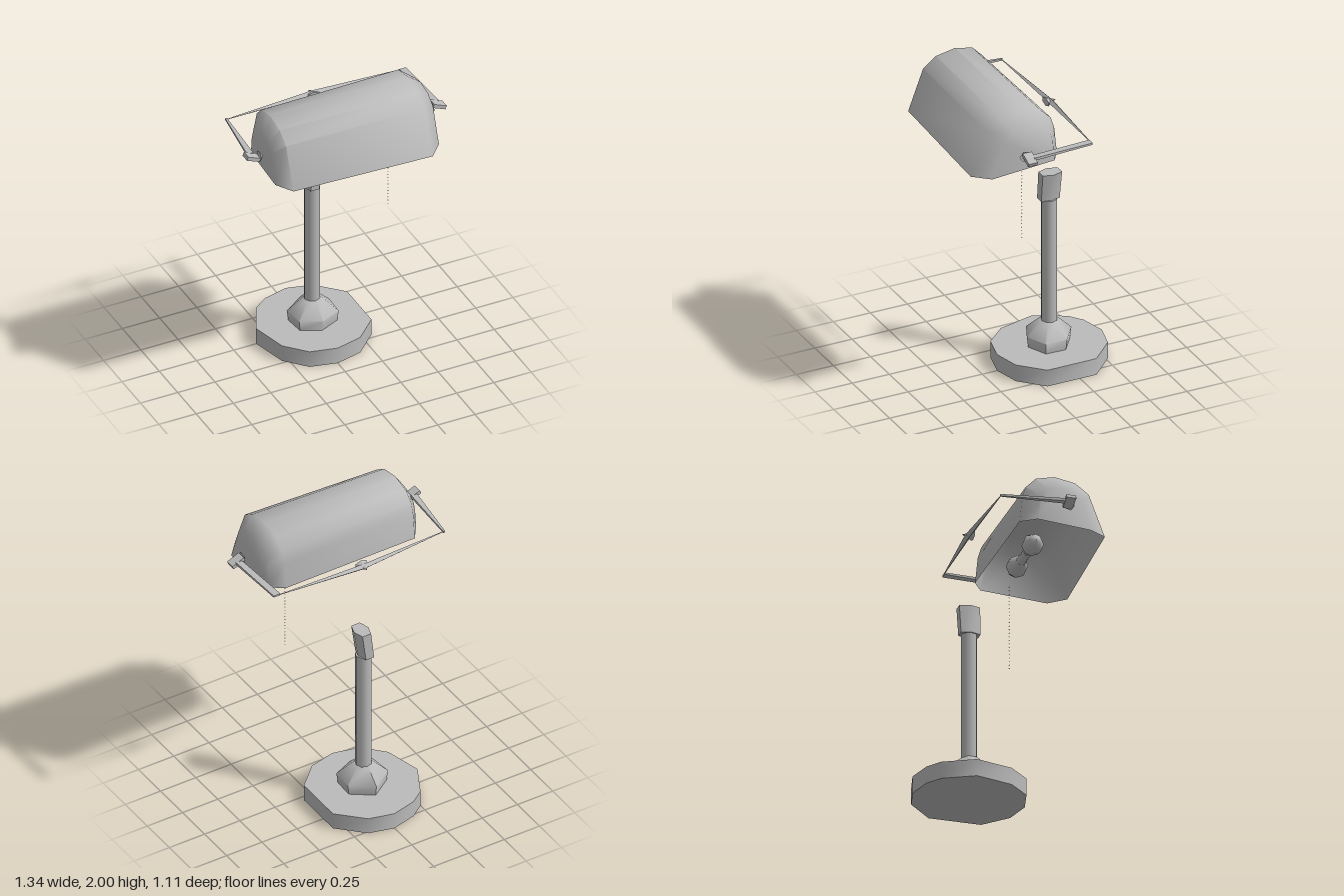
import * as THREE from 'three';
import { toCreasedNormals } from 'three/addons/utils/BufferGeometryUtils.js';

// Skin a surface over a row of cross-sections (each a list of [x, y, z])
function loft(sections, { closed = true, caps = true, crease = 0.9 } = {}) {
  const n = sections[0].length;
  const pos = sections.flat(2);
  const idx = [];
  const spans = closed ? n : n - 1;
  for (let s = 0; s < sections.length - 1; s++) {
    for (let i = 0; i < spans; i++) {
      const j = (i + 1) % n;
      const a = s * n + i, b = s * n + j;
      idx.push(a, a + n, b, b, a + n, b + n);
    }
  }
  if (caps) {
    const last = (sections.length - 1) * n;
    for (let i = 1; i < n - 1; i++) {
      idx.push(0, i, i + 1);
      idx.push(last, last + i + 1, last + i);
    }
  }
  const geo = new THREE.BufferGeometry();
  geo.setAttribute('position', new THREE.Float32BufferAttribute(pos, 3));
  geo.setIndex(idx);
  geo.computeVertexNormals();
  return toCreasedNormals(geo, crease);
}

export function createModel() {
  const lamp = new THREE.Group();
  lamp.name = 'deskLamp';
  const grey = new THREE.MeshStandardMaterial({ color: 0xbbbbbb, side: THREE.DoubleSide });
  grey.name = 'grey metal';
  const axisZ = -0.2;

  function add(name, geometry, x = 0, y = 0, z = 0, parent = lamp) {
    const mesh = new THREE.Mesh(geometry, grey);
    mesh.name = name;
    mesh.position.set(x, y, z);
    parent.add(mesh);
    return mesh;
  }

  // Outline [x, z] raised to a height, optionally scaled about the pole axis
  const level = (outline, y, k = 1, dx = 0) =>
    outline.map(([x, z]) => [x * k + dx, y, axisZ + (z - axisZ) * k]);

  // Base: uneven many-sided disc
  const baseOutline = [
    [0, -0.555], [0.16, -0.515], [0.315, -0.36], [0.315, -0.03], [0.17, 0.11], [0, 0.15],
    [-0.17, 0.11], [-0.29, -0.02], [-0.35, -0.255], [-0.25, -0.45], [-0.16, -0.515],
  ];
  add('base', loft([level(baseOutline, 0), level(baseOutline, 0.11)], { crease: 1.2 }));

  // Foot: six-sided collar tapering to the pole
  const footOutline = [
    [0, -0.35], [0.14, -0.25], [0.135, -0.11], [0, -0.05], [-0.13, -0.11], [-0.145, -0.25],
  ];
  add('foot', loft([
    level(footOutline, 0.11, 0.94), level(footOutline, 0.18), level(footOutline, 0.27, 0.38),
  ]));

  // Pole
  add('pole', new THREE.CylinderGeometry(0.051, 0.051, 0.83, 8), 0, 0.68, axisZ);

  // Neck: leaning socket on top of the pole
  const neckOutline = [
    [0.03, -0.265], [0.05, -0.2], [0.03, -0.135], [-0.03, -0.135], [-0.05, -0.2], [-0.03, -0.265],
  ];
  add('neck', loft([level(neckOutline, 1.09, 0.95, -0.01), level(neckOutline, 1.28, 1, 0.015)]));

  // Shade: open-bottomed vault with chamfered ends; profile is [depth, height] from 0 to 1
  const vault = [
    [0, 0], [0.03, 0.5], [0.07, 0.72], [0.19, 0.92], [0.41, 1], [0.65, 0.93], [0.81, 0.75], [1, 0],
  ];
  const vaultAt = (x, back, front, top) => vault.map(([t, h]) => {
    const bottom = 1.66 - 0.03 * t;
    return [x, bottom + (top - bottom) * h, back + (front - back) * t];
  });
  add('shade', loft([
    vaultAt(-0.543, 0.07, 0.4, 1.88),
    vaultAt(-0.475, -0.025, 0.51, 1.985),
    vaultAt(0.44, -0.03, 0.55, 2.0),
    vaultAt(0.53, 0.03, 0.45, 1.93),
  ], { closed: false, crease: 1.0 }));

  // Crossbar: a rod thickest in the middle, pointed at both ends
  const ringX = (x, y, z, r) => [0, 1, 2, 3].map((i) => {
    const a = (i * Math.PI) / 2;
    return [x, y + r * Math.cos(a), z + r * Math.sin(a)];
  });
  add('crossbar', loft([
    ringX(-0.58, 1.765, -0.175, 0.003), ringX(0, 1.757, -0.205, 0.02), ringX(0.58, 1.765, -0.18, 0.003),
  ]));
  const knob = add('crossbarKnob', new THREE.ConeGeometry(0.045, 0.07, 6), 0, 1.757, -0.21);
  knob.rotation.x = -Math.PI / 2;
  knob.scale.set(1, 1, 0.6);

  // Side arms, thumb screws and washers
  for (const side of [-1, 1]) {
    const arm = new THREE.Group();
    arm.name = side > 0 ? 'leftArm' : 'rightArm';
    lamp.add(arm);
    const ringZ = (x0, x1, y, z, h) => [
      [side * x0, y + h, z], [side * x1, y + h, z], [side * x1, y - h, z], [side * x0, y - h, z],
    ];
    const thin = side > 0 ? [0.575, 0.622] : [0.58, 0.592];
    add('armRod', loft([ringZ(...thin, 1.765, -0.18, 0.006), ringZ(0.602, 0.642, 1.765, 0.22, 0.009)]),
      0, 0, 0, arm);
    const screw = add('thumbScrew', new THREE.BoxGeometry(0.09, 0.025, 0.06), side * 0.624, 1.762, 0.243, arm);
    screw.rotation.z = -0.4;
    const washer = add('washer', new THREE.ConeGeometry(0.038, 0.025, 5), side * 0.567, 1.762, 0.253, arm);
    washer.rotation.z = (side * Math.PI) / 2;
  }

  // Lamp holder with a bulb on each side, under the shade
  const bulbProfile = [
    [0.001, 0], [0.025, 0], [0.03, 0.04], [0.06, 0.09], [0.065, 0.14], [0.04, 0.19], [0.001, 0.205],
  ].map(([r, y]) => new THREE.Vector2(r, y));
  const bulbGeo = new THREE.LatheGeometry(bulbProfile, 8);
  const socketGeo = new THREE.CylinderGeometry(0.035, 0.028, 0.07, 6);
  for (const side of [-1, 1]) {
    const socket = add('bulbSocket', socketGeo, 0.165 + side * 0.035, 1.75, 0.2);
    socket.rotation.z = (-side * Math.PI) / 2;
    const bulb = add('bulb', bulbGeo, 0.165 + side * 0.04, 1.75, 0.2);
    bulb.rotation.z = (-side * Math.PI) / 2;
  }

  // Pull chain: tiny separate beads
  const chain = new THREE.Group();
  chain.name = 'pullChain';
  lamp.add(chain);
  const beadGeo = new THREE.OctahedronGeometry(0.004);
  for (let i = 0; i < 24; i++) add('chainBead', beadGeo, 0.335, 1.07 + i * 0.0235, 0.153, chain);

  return lamp;
}
